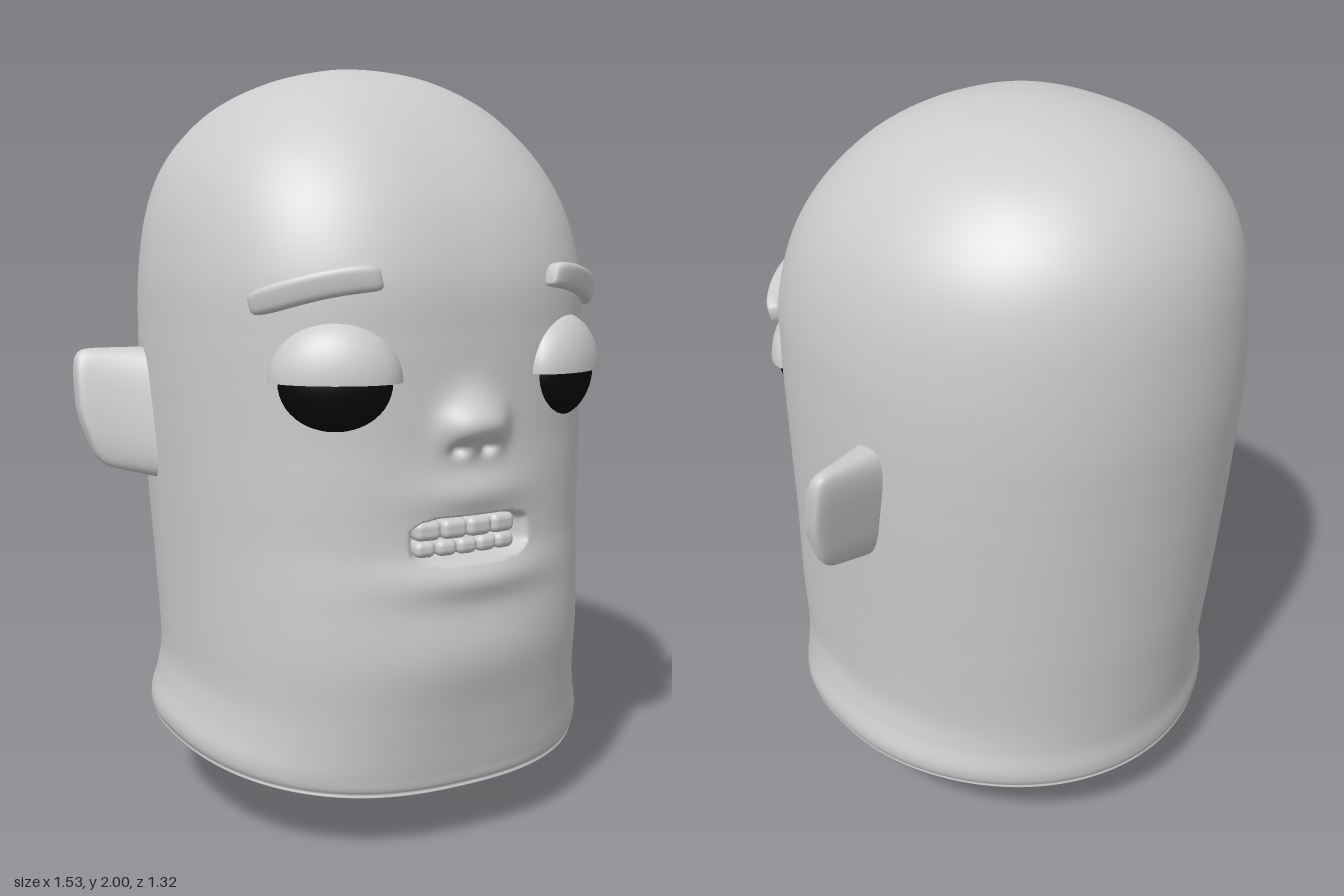
import * as THREE from 'three';
import { mergeVertices } from 'three/addons/utils/BufferGeometryUtils.js';
import { RoundedBoxGeometry } from 'three/addons/geometries/RoundedBoxGeometry.js';

const grey = new THREE.MeshStandardMaterial({ color: 0xcccccc });
const black = new THREE.MeshStandardMaterial({ color: 0x080808 });

// Smooth closed skin: point(u, v) with u along the form and v around it
function skin(point, nu, nv) {
  const pos = [], idx = [];
  for (let i = 0; i <= nu; i++)
    for (let j = 0; j < nv; j++) pos.push(...point(i / nu, j / nv));
  for (let i = 0; i < nu; i++)
    for (let j = 0; j < nv; j++) {
      const a = i * nv + j, b = i * nv + (j + 1) % nv;
      idx.push(a, b, b + nv, a, b + nv, a + nv);
    }
  let geo = new THREE.BufferGeometry();
  geo.setAttribute('position', new THREE.Float32BufferAttribute(pos, 3));
  geo.setIndex(idx);
  geo = mergeVertices(geo, 1e-5);
  geo.computeVertexNormals();
  return geo;
}

// Head rings: height, half width, front z, back z
const RINGS = [
  [0.145, 0, 0, 0], [0.145, 0.3, 0.3, -0.3], [0.145, 0.555, 0.555, -0.545],
  [0.16, 0.588, 0.583, -0.573], [0.2, 0.596, 0.592, -0.58], [0.27, 0.577, 0.603, -0.578],
  [0.36, 0.563, 0.615, -0.585], [0.5, 0.565, 0.625, -0.597], [0.65, 0.57, 0.62, -0.612],
  [0.72, 0.573, 0.614, -0.618], [0.78, 0.576, 0.608, -0.623], [0.84, 0.579, 0.606, -0.628],
  [0.9, 0.582, 0.605, -0.633], [0.97, 0.585, 0.603, -0.639], [1.04, 0.588, 0.6, -0.644],
  [1.11, 0.59, 0.6, -0.649], [1.18, 0.592, 0.6, -0.654], [1.3, 0.593, 0.6, -0.66],
  [1.45, 0.588, 0.592, -0.656], [1.6, 0.562, 0.545, -0.64], [1.72, 0.515, 0.475, -0.605],
  [1.82, 0.44, 0.39, -0.54], [1.9, 0.345, 0.295, -0.445], [1.96, 0.22, 0.18, -0.31],
  [1.99, 0.1, 0.06, -0.17], [2, 0, -0.05, -0.05],
];
const curve = f => new THREE.CatmullRomCurve3(RINGS.map(f), false, 'catmullrom', 0.5);
const outline = curve(r => new THREE.Vector3(r[1], r[0], 0));
const depth = curve(r => new THREE.Vector3(r[2], r[3], 0));
const FRONT_POWER = 2.45;

const bump = (x, y, cx, cy, sx, sy, p = 2) =>
  Math.exp(-Math.pow(Math.abs((x - cx) / sx), p) - ((y - cy) / sy) ** 2);

// Nose, nostrils, lips, mouth hollow and chin pushed out of the front
function faceRelief(x, y) {
  let d = 0.05 * bump(x, y, 0, 1.085, 0.095, 0.055, 4) + 0.022 * bump(x, y, 0, 1.13, 0.06, 0.06);
  for (const s of [-1, 1]) d -= 0.035 * bump(x, y, s * 0.042, 1.035, 0.022, 0.017);
  d += 0.02 * bump(x, y, 0, 0.92, 0.14, 0.05);
  d += 0.028 * bump(x, y, 0, 0.71, 0.2, 0.05) + 0.022 * bump(x, y, 0, 0.52, 0.25, 0.12);
  const q = Math.pow(Math.abs(x) / 0.16, 4) + Math.pow(Math.abs(y - 0.808) / 0.052, 4);
  return d - 0.085 * (1 - THREE.MathUtils.smoothstep(q, 0.6, 1.4));
}

// The underside arches up towards the middle of the neck
function baseLift(y, z) {
  const k = (z + 0.17) / (z > -0.17 ? 0.77 : 0.41);
  const lift = 0.07 - (z > -0.17 ? 0.07 : 0.025) * k * k;
  return lift * (1 - THREE.MathUtils.smoothstep(y, 0.18, 0.65));
}

function headPoint(u, v) {
  const { x: w, y } = outline.getPoint(u), { x: zf, y: zb } = depth.getPoint(u);
  const phi = v * Math.PI * 2, a = phi - 0.6 * Math.sin(phi); // denser in front
  const s = Math.sin(a), c = Math.cos(a), n = c > 0 ? FRONT_POWER : 2;
  const r = 1 / Math.pow(Math.pow(Math.abs(s), n) + Math.pow(Math.abs(c), n), 1 / n);
  const mid = (zf + zb) / 2, x = Math.max(w, 0) * r * s;
  let z = mid + (zf - zb) / 2 * r * c;
  if (c > 0 && y > 0.2 && y < 1.5) z += faceRelief(x, y);
  return [x, y + baseLift(y, z), z];
}

// z of the plain face at brow height
const faceZ = x => -0.03 + 0.625 * Math.pow(1 - Math.pow(x / 0.59, FRONT_POWER), 1 / FRONT_POWER);

const ease = u => (1 - Math.cos(u * Math.PI)) / 2;
const blunt = (u, p) => Math.pow(Math.max(0, 1 - Math.pow(Math.abs(2 * u - 1), p)), 1 / p);
const squarish = (t, p) => Math.sign(t) * Math.pow(Math.abs(t), p);

// Eyebrow strip bent round the forehead
function browPoint(u, v) {
  const t = ease(u), x = 0.24 + 0.25 * t, z = faceZ(x), len = Math.hypot(x, z);
  const a = v * Math.PI * 2, e = blunt(t, 6);
  const h = 0.033 * e * squarish(Math.cos(a), 0.6);
  const d = 0.012 + 0.024 * e * squarish(Math.sin(a), 0.6);
  return [x + d * x / len + 0.25 * h, 1.452 - 1.05 * (x - 0.24) ** 2 + h, z + d * z / len];
}

// Ear slab, thick at the root and swept backwards
function earPoint(u, v) {
  const t = ease(u), a = v * Math.PI * 2;
  const e = t < 0.5 ? 1 : blunt(t, 7);
  const y = 1.07 + 0.025 * t + (0.18 - 0.025 * t) * e * squarish(Math.cos(a), 0.55);
  const root = Math.pow(1 - t, 1.3);
  const z = -0.147 + 0.05 * root + (0.032 + 0.045 * root) * e * squarish(Math.sin(a), 0.7);
  const low = Math.max(0, 1.08 - y) * 0.3 * t;
  return [0.53 + 0.235 * t - low, y, z + (1.08 - y) * 0.2];
}

// Flat peg under the head, from an outline in x and y
function peg(points) {
  const shape = new THREE.Shape(points.map(p => new THREE.Vector2(...p)));
  const geo = new THREE.ExtrudeGeometry(shape, {
    depth: 0.024, bevelSize: 0.008, bevelThickness: 0.008, bevelOffset: -0.008, bevelSegments: 2,
  });
  return geo.translate(0, 0, -0.192);
}

export function createModel() {
  const model = new THREE.Group();
  model.name = 'head';
  const add = (name, geo, mat = grey) => {
    const mesh = new THREE.Mesh(geo, mat);
    mesh.name = name;
    model.add(mesh);
    return mesh;
  };

  add('skull', skin(headPoint, 225, 180));

  const brow = skin(browPoint, 24, 24), ear = skin(earPoint, 28, 40);
  const ball = new THREE.SphereGeometry(1, 32, 24);
  const lid = new THREE.SphereGeometry(1, 32, 14, 0, Math.PI * 2, 0, Math.PI / 2);
  const lidFloor = new THREE.CircleGeometry(1, 32).rotateX(Math.PI / 2);
  for (const s of [1, -1]) {
    const side = s > 0 ? 'left' : 'right';
    add(side + 'Eyebrow', brow).scale.x = s;
    add(side + 'Ear', ear).scale.x = s;
    // Eyeball with a half-closed lid
    for (const [name, geo, mat, size] of [
      ['Eyeball', ball, black, [0.14, 0.125, 0.079]],
      ['Eyelid', lid, grey, [0.163, 0.148, 0.095]],
      ['EyelidUnderside', lidFloor, grey, [0.163, 1, 0.095]],
    ]) {
      const mesh = add(side + name, geo, mat);
      mesh.scale.set(...size);
      mesh.position.set(s * 0.33, 1.204, 0.502);
      mesh.rotation.y = s * 0.53;
    }
  }

  // Two rows of teeth
  for (const [row, y, h, n] of [['upper', 0.829, 0.05, 4], ['lower', 0.783, 0.042, 5]])
    for (let i = 0; i < n; i++) {
      const w = 0.29 / n, x = (i - (n - 1) / 2) * w;
      const tooth = add(row + 'Tooth', new RoundedBoxGeometry(w, h, 0.06, 3, 0.018));
      tooth.position.set(x, y, 0.562 - 0.6 * x * x);
      tooth.rotation.y = x;
    }

  // Neck pegs: a plain bar and a cross
  add('barPeg', peg([[0.037, 0], [0.11, 0], [0.11, 0.235], [0.037, 0.235]]));
  add('crossPeg', peg([
    [-0.155, 0], [-0.08, 0], [-0.08, 0.08], [-0.002, 0.08], [-0.002, 0.155], [-0.08, 0.155],
    [-0.08, 0.235], [-0.155, 0.235], [-0.155, 0.155], [-0.233, 0.155], [-0.233, 0.08], [-0.155, 0.08],
  ]));
  return model;
}
